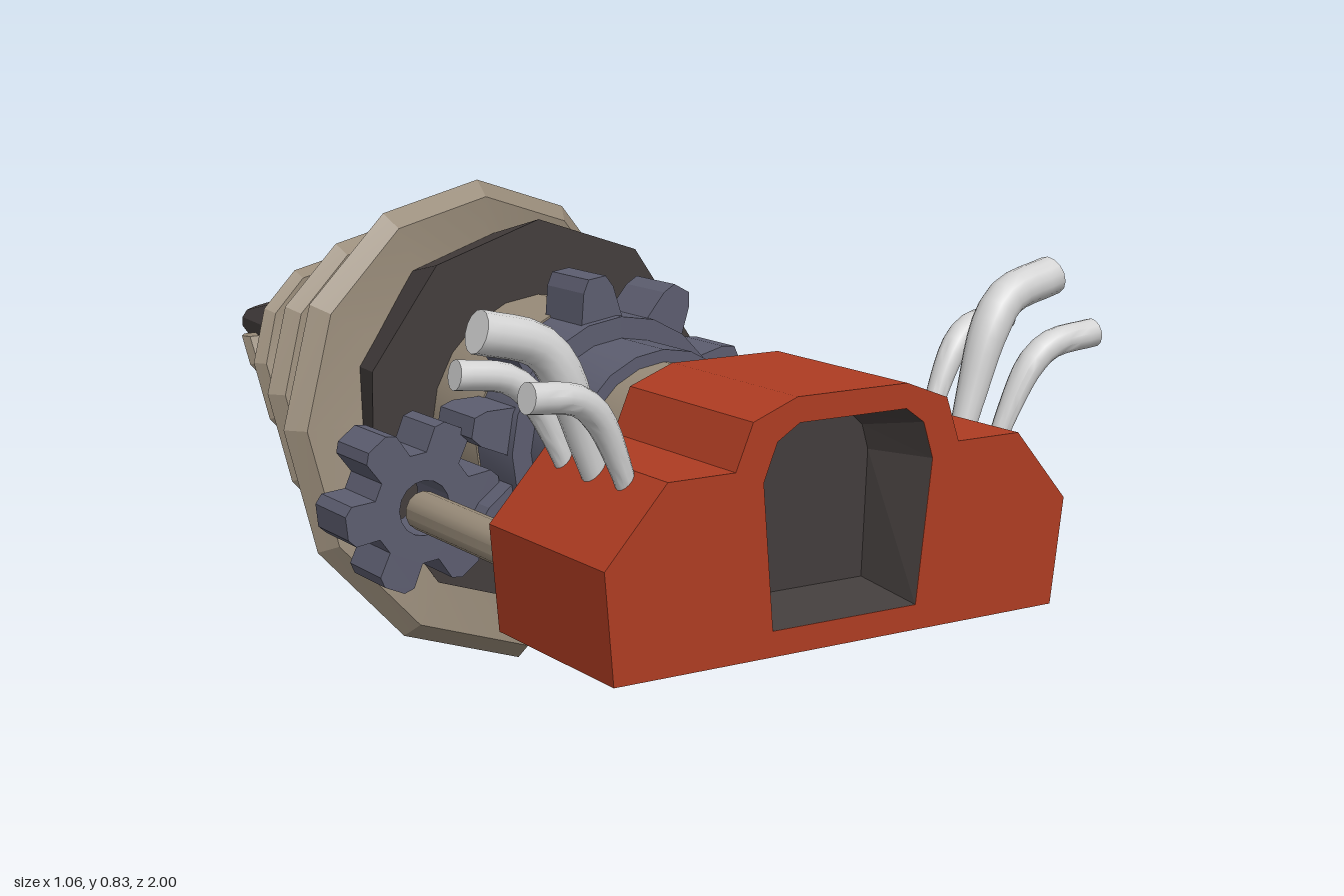
import * as THREE from 'three';
import { toCreasedNormals } from 'three/addons/utils/BufferGeometryUtils.js';

const mat = (name, color) => {
  const m = new THREE.MeshStandardMaterial({ color });
  m.name = name;
  return m;
};

// Joins rings of points into a closed solid with capped ends, faces outward
function loft(rings, crease) {
  const n = rings[0].length;
  const last = (rings.length - 1) * n;
  const pos = rings.flat().flatMap((p) => [p.x, p.y, p.z]);
  const idx = [];
  for (let i = 0; i < rings.length - 1; i++) {
    for (let j = 0; j < n; j++) {
      const a = i * n + j, b = i * n + ((j + 1) % n);
      idx.push(a, b, a + n, b, b + n, a + n);
    }
  }
  for (let j = 1; j < n - 1; j++) idx.push(0, j + 1, j, last, last + j, last + j + 1);
  // Reverse the corners if the solid came out inside out
  const pts = rings.flat();
  let volume = 0;
  for (let i = 0; i < idx.length; i += 3) {
    volume += pts[idx[i]].dot(pts[idx[i + 1]].clone().cross(pts[idx[i + 2]]));
  }
  if (volume < 0) idx.reverse();
  const g = new THREE.BufferGeometry();
  g.setAttribute('position', new THREE.Float32BufferAttribute(pos, 3));
  g.setIndex(idx);
  return toCreasedNormals(g, crease);
}

const outline = (points) => points.map(([x, y]) => new THREE.Vector2(x, y));

// Flat gear with tapered teeth, lying in the xy plane, extruded along +z
function gearGeometry(teeth, root, tip, phase, rootHalf, tipHalf, hole, depth) {
  const pts = [];
  for (let i = 0; i < teeth; i++) {
    const a = phase + (i / teeth) * Math.PI * 2;
    for (const [r, da] of [[root, -rootHalf], [tip * 0.93, -tipHalf * 1.5], [tip, -tipHalf * 0.8],
      [tip, tipHalf * 0.8], [tip * 0.93, tipHalf * 1.5], [root, rootHalf]]) {
      pts.push(new THREE.Vector2(r * Math.cos(a + da), r * Math.sin(a + da)));
    }
  }
  const shape = new THREE.Shape(pts);
  if (hole) shape.holes.push(new THREE.Path().absarc(0, 0, hole, 0, Math.PI * 2, true));
  return new THREE.ExtrudeGeometry(shape, { depth, bevelEnabled: false, curveSegments: 8 });
}

export function createModel() {
  const model = new THREE.Group();
  model.name = 'drillVehicle';
  const red = mat('red paint', 0xae3c22);
  const dark = mat('dark iron', 0x433d3c);
  const tan = mat('tan metal', 0x978a78);
  const slate = mat('slate steel', 0x5c5d6f);
  const silver = mat('pale silver', 0xd2d2d2);
  const cx = -0.012, cy = 0.44;

  const add = (name, geometry, material, x = 0, y = 0, z = 0) => {
    const mesh = new THREE.Mesh(geometry, material);
    mesh.name = name;
    mesh.position.set(x, y, z);
    model.add(mesh);
    return mesh;
  };
  // Cylinder or cone along z between two depths
  const shaft = (name, material, rFront, rBack, zFront, zBack, sides, x = cx, y = cy, flat = false) => {
    const g = new THREE.CylinderGeometry(rFront, rBack, zFront - zBack, sides).rotateX(Math.PI / 2);
    return add(name, toCreasedNormals(g, flat ? 0.1 : 0.6), material, x, y, (zFront + zBack) / 2);
  };

  // Drill cone
  shaft('drillCone', dark, 0.336, 0.03, 0.155, -1, 10, cx, cy, true);

  // Spiral blade winding from the underside of the cone toward its tip
  const turns = 3.25, steps = 39;
  const blade = [];
  for (let i = 0; i <= steps; i++) {
    const k = i / steps, t = k * turns, a = t * Math.PI * 2;
    const out = 0.44 - 0.103 * t;
    const h = THREE.MathUtils.lerp(0.15, 0.05, k);
    const w = THREE.MathUtils.lerp(0.036, 0.02, k);
    const z = 0.125 - 0.296 * t;
    const sx = cx - 0.022 * (1 - k);
    blade.push([[w, out - h], [w, out - h * 0.2], [0.1 * w, out], [-w, out - h * 0.32], [-w, out - h]]
      .map(([dz, r]) => new THREE.Vector3(sx - r * Math.sin(a), cy - r * Math.cos(a), z + dz)));
  }
  add('spiralBlade', loft(blade, 0.35), tan);

  // Drive shaft
  shaft('shaftCollar', tan, 0.208, 0.208, 0.3, 0.15, 20);
  shaft('driveShaft', tan, 0.15, 0.15, 0.71, 0.5, 20);
  shaft('gearHub', slate, 0.17, 0.17, 0.53, 0.38, 20);
  shaft('gearFlange', slate, 0.205, 0.205, 0.41, 0.28, 20);
  add('mainGear', gearGeometry(10, 0.2, 0.272, 1.71, 0.2, 0.075, 0, 0.11), slate, cx, cy, 0.285);

  // Side gears on their rods
  for (const [side, x, phase] of [['right', -0.348, Math.PI + 0.12], ['left', 0.322, -0.12]]) {
    add(side + 'SideGear', gearGeometry(6, 0.09, 0.14, phase, 0.36, 0.17, 0.045, 0.105), slate, x, 0.36, 0.255);
    shaft(side + 'GearRod', tan, 0.032, 0.032, 0.72, 0.355, 14, x, 0.355);
  }

  // Engine body with a recess opening in its front
  const bodyPts = outline([[-0.413, 0.257], [0.375, 0.257], [0.393, 0.42], [0.295, 0.53], [0.18, 0.53],
    [0.155, 0.597], [0.08, 0.625], [-0.115, 0.625], [-0.19, 0.597], [-0.218, 0.53], [-0.33, 0.53], [-0.43, 0.42]]);
  const rim = outline([[-0.148, 0.295], [0.11, 0.295], [0.132, 0.51], [0.113, 0.565], [0.08, 0.588],
    [-0.11, 0.588], [-0.148, 0.565], [-0.17, 0.51]]);
  const floor = outline([[-0.128, 0.318], [0.087, 0.318], [0.092, 0.51], [0.08, 0.548], [0.057, 0.568],
    [-0.095, 0.568], [-0.118, 0.548], [-0.13, 0.51]]);
  const front = new THREE.Shape(bodyPts);
  front.holes.push(new THREE.Path(rim));
  const recess = 0.1;
  add('bodyFront', new THREE.ExtrudeGeometry(front, { depth: recess, bevelEnabled: false }), red, 0, 0, 1 - recess);
  add('bodyRear', new THREE.ExtrudeGeometry(new THREE.Shape(bodyPts), { depth: 0.3 - recess, bevelEnabled: false }),
    red, 0, 0, 0.7);

  // Sloping lining and back plate of the recess
  const wall = [];
  rim.forEach((p, i) => {
    const j = (i + 1) % rim.length;
    const q = rim[j], a = floor[i], b = floor[j], zb = 1.004 - recess;
    wall.push(p.x, p.y, 0.999, q.x, q.y, 0.999, b.x, b.y, zb, p.x, p.y, 0.999, b.x, b.y, zb, a.x, a.y, zb);
  });
  const lining = new THREE.BufferGeometry();
  lining.setAttribute('position', new THREE.Float32BufferAttribute(wall, 3));
  lining.computeVertexNormals();
  const liningMesh = add('recessLining', lining, dark);
  // Face the lining inward
  const p = lining.attributes.position, v = (i) => new THREE.Vector3().fromBufferAttribute(p, i);
  const nrm = v(1).sub(v(0)).cross(v(2).sub(v(0)));
  if (nrm.y < 0) {
    lining.setIndex([...Array(p.count).keys()].reverse());
    lining.computeVertexNormals();
  }
  liningMesh.geometry = lining;
  add('recessBack', new THREE.ShapeGeometry(new THREE.Shape(floor)), dark, 0, 0, 1.004 - recess);

  // Bent exhaust pipes, thinner at the base: [base z, end z, radius, path points]
  const small = [[0.325, 0.47], [0.352, 0.54], [0.39, 0.61], [0.425, 0.638], [0.507, 0.65]];
  const big = [[0.325, 0.47], [0.352, 0.55], [0.388, 0.65], [0.425, 0.697], [0.52, 0.724]];
  const pipes = [[0.912, 0.928, 0.022, small], [0.838, 0.82, 0.031, big], [0.762, 0.737, 0.022, small]];
  for (const s of [-1, 1]) {
    pipes.forEach(([z0, z1, radius, path], n) => {
      const curve = new THREE.CatmullRomCurve3(path.map(([x, y], i) =>
        new THREE.Vector3(s * x, y, THREE.MathUtils.lerp(z0, z1, i / (path.length - 1)))));
      const rings = [];
      for (let i = 0; i <= 14; i++) {
        const k = i / 14, c = curve.getPointAt(k), t = curve.getTangentAt(k);
        const u = new THREE.Vector3(0, 0, 1).cross(t).normalize();
        const w = t.clone().cross(u);
        const r = radius * Math.min(1, 0.55 + 0.8 * k);
        rings.push(Array.from({ length: 14 }, (_, j) => {
          const a = (j / 14) * Math.PI * 2;
          return c.clone().addScaledVector(u, r * Math.cos(a)).addScaledVector(w, r * Math.sin(a));
        }));
      }
      add((s < 0 ? 'right' : 'left') + 'ExhaustPipe' + (n + 1), loft(rings, 0.8), silver);
    });
  }
  return model;
}
